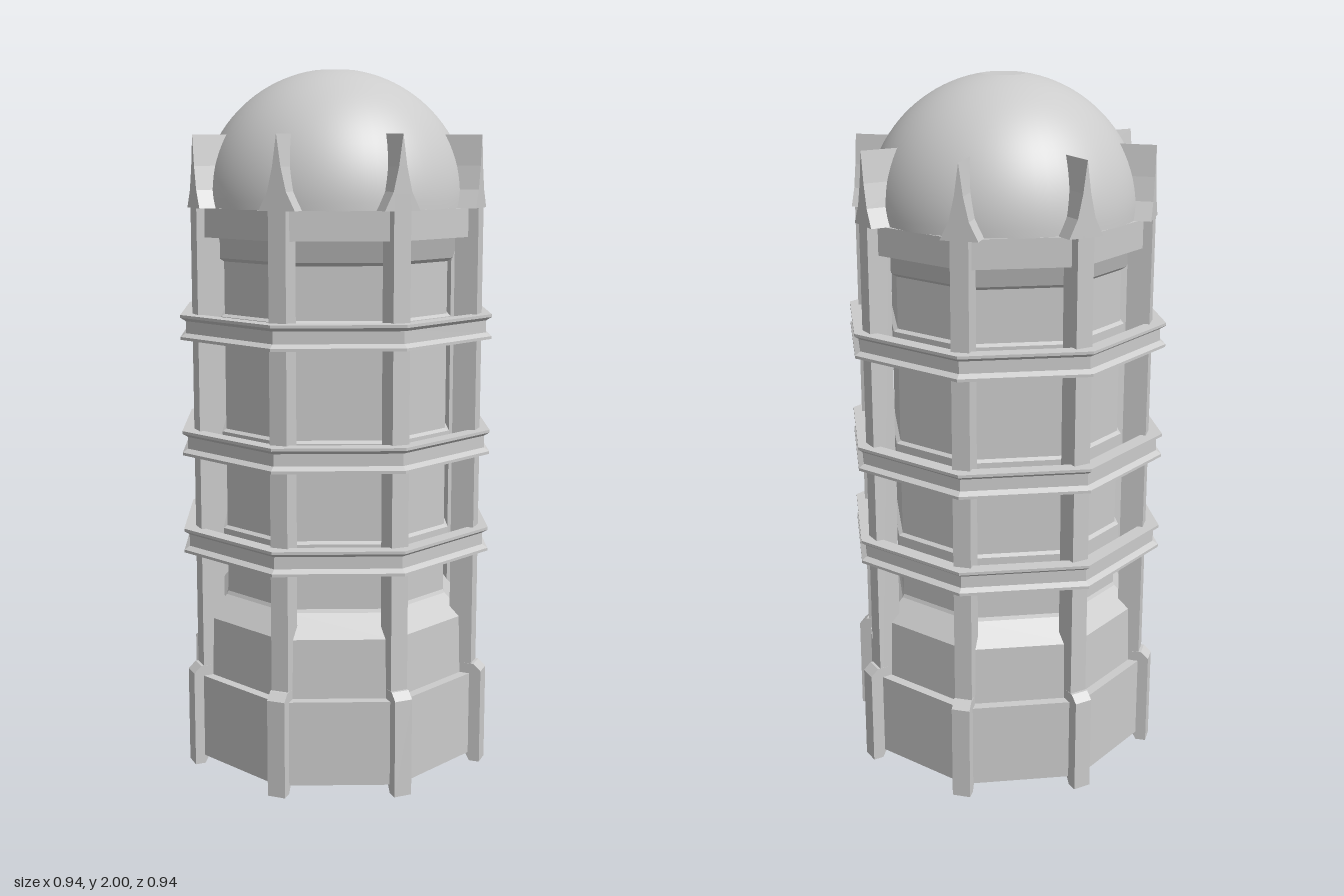
import * as THREE from 'three';

const SIDES = 8;
const flat = new THREE.MeshStandardMaterial({ color: 0xcccccc, flatShading: true });
const smooth = new THREE.MeshStandardMaterial({ color: 0xcccccc });

function add(parent, name, geometry, material = flat) {
  const mesh = new THREE.Mesh(geometry, material);
  mesh.name = name;
  parent.add(mesh);
  return mesh;
}

// Octagonal solid from [radius, height] pairs, corners on the axes
const octagon = (profile) =>
  new THREE.LatheGeometry(profile.map(([r, y]) => new THREE.Vector2(r, y)), SIDES);

// Outline extruded along its depth and centred on it
function prism(points, depth) {
  const shape = new THREE.Shape(points.map(([x, y]) => new THREE.Vector2(x, y)));
  return new THREE.ExtrudeGeometry(shape, { depth, bevelEnabled: false })
    .translate(0, 0, -depth / 2);
}

export function createModel() {
  const tower = new THREE.Group();
  tower.name = 'tower';

  // Stepped base, shaft, flared cornice and parapet
  add(tower, 'towerBody', octagon([
    [0, 0.025], [0.44, 0.025], [0.44, 0.27], [0.41, 0.27], [0.405, 0.44],
    [0.345, 0.5], [0.34, 0.51], [0.34, 1.47], [0.355, 1.48], [0.375, 1.54],
    [0.415, 1.54], [0.415, 1.62], [0, 1.62],
  ]));

  // Dome with a small flat crown
  const dome = [];
  const radius = 0.385, crown = Math.asin(0.06 / radius);
  for (let i = 0; i <= 24; i++) {
    const a = Math.PI / 2 - (i / 24) * (Math.PI / 2 - crown);
    dome.push(new THREE.Vector2(radius * Math.sin(a), 1.619 + radius * Math.cos(a)));
  }
  add(tower, 'dome', new THREE.LatheGeometry(dome, 64), smooth);
  const top = dome[dome.length - 1];
  add(tower, 'domeCrown', new THREE.CircleGeometry(top.x, 64)
    .rotateX(-Math.PI / 2).translate(0, top.y, 0));

  // Open hoops with projecting lips, each level with a collar on the shaft
  for (const y of [0.64, 0.925, 1.255]) {
    add(tower, 'hoop', octagon([
      [0.425, y], [0.472, y], [0.472, y + 0.008], [0.456, y + 0.018],
      [0.456, y + 0.052], [0.472, y + 0.062], [0.472, y + 0.07],
      [0.425, y + 0.07], [0.425, y],
    ]));
    add(tower, 'shaftCollar', octagon([
      [0.335, y], [0.352, y + 0.01], [0.352, y + 0.06], [0.335, y + 0.07],
    ]));
  }

  // One buttress at each corner: foot, pier and gabled pinnacle
  const buttresses = new THREE.Group();
  buttresses.name = 'buttresses';
  buttresses.position.x = 0.004;
  tower.add(buttresses);

  const pier = new THREE.BoxGeometry(0.05, 1.645, 0.067).translate(0, 0.8425, 0.3985);
  const foot = prism([[-0.462, 0], [-0.432, 0], [-0.41, 0.04], [-0.41, 0.3],
    [-0.44, 0.3], [-0.462, 0.28]], 0.052).rotateY(Math.PI / 2);
  const gable = prism([[-0.052, 1.62], [0.052, 1.62], [0.027, 1.67], [0.012, 1.735],
    [0, 1.82], [-0.012, 1.735], [-0.027, 1.67]], 0.15).translate(0, 0, 0.357);

  for (let i = 0; i < SIDES; i++) {
    const buttress = new THREE.Group();
    buttress.name = 'buttress';
    buttress.rotation.y = (i / SIDES) * Math.PI * 2;
    add(buttress, 'foot', foot);
    add(buttress, 'pier', pier);
    add(buttress, 'pinnacle', gable);
    buttresses.add(buttress);
  }
  return tower;
}
